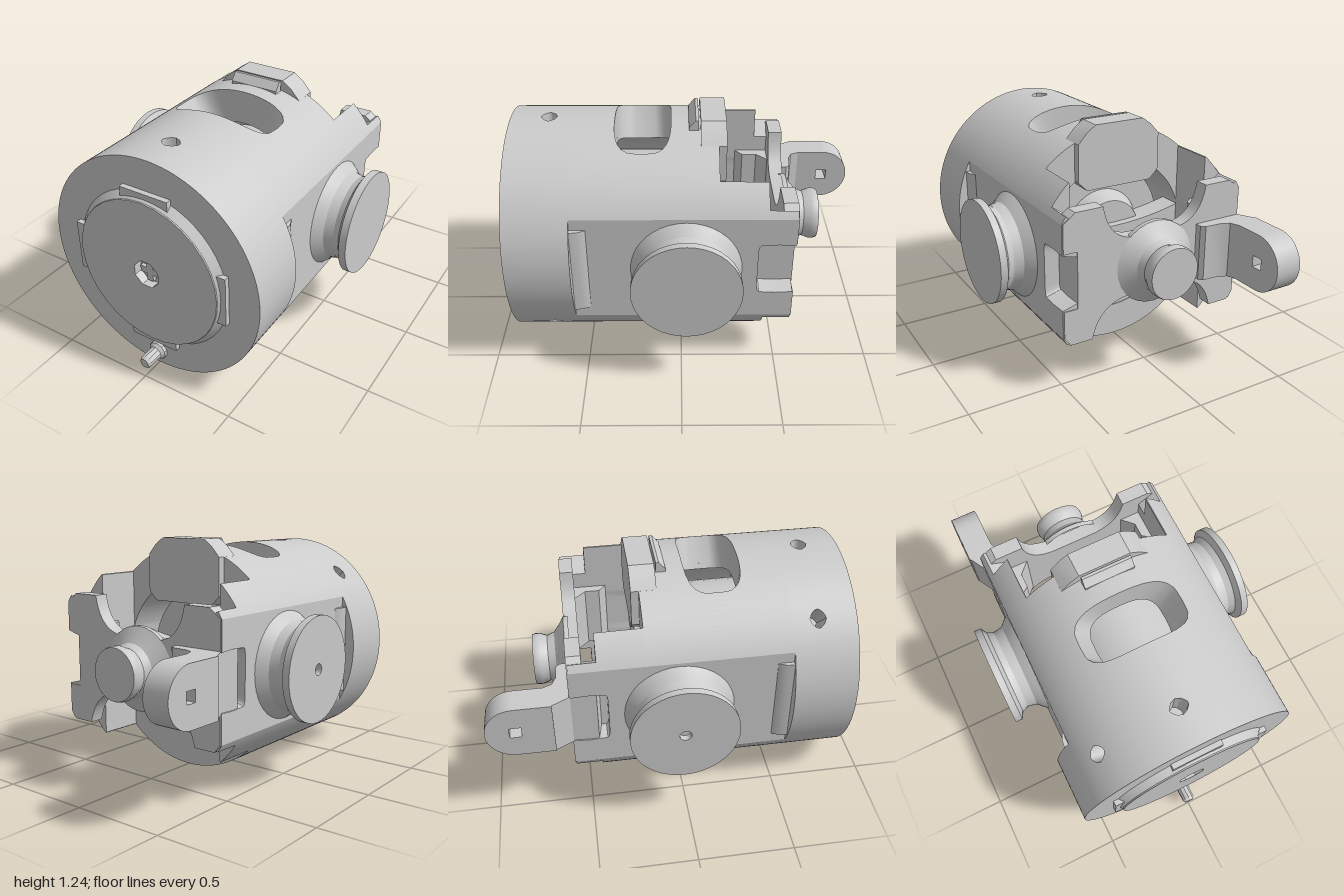
import * as THREE from 'three';
import { toCreasedNormals } from 'three/addons/utils/BufferGeometryUtils.js';

const CY = 0.6; // height of the main axis
const RAD = Math.PI / 180;
const mat = new THREE.MeshStandardMaterial({ color: 0xcccccc, side: THREE.DoubleSide });

export function createModel() {
  const model = new THREE.Group();
  const add = (name, geo, x = 0, y = 0, z = 0) => {
    const mesh = new THREE.Mesh(toCreasedNormals(geo, 0.5), mat);
    mesh.name = name;
    mesh.position.set(x, y, z);
    model.add(mesh);
  };
  const box = (name, w, h, d, x, y, z) => add(name, new THREE.BoxGeometry(w, h, d), x, y, z);
  const lathe = (pts, sides = 40) =>
    new THREE.LatheGeometry(pts.map(p => new THREE.Vector2(...p)), sides);
  const poly = pts => new THREE.Shape(pts.map(p => new THREE.Vector2(...p)));
  const extrude = (shape, depth) =>
    new THREE.ExtrudeGeometry(shape, { depth, bevelEnabled: false, curveSegments: 16 });

  add('housing', housingGeometry());

  // inner core, seen through the slots and from the back
  add('innerCore', lathe([[0, -0.14], [0.18, -0.14], [0.22, -0.05], [0.36, -0.05], [0.36, 0.42],
    [0.43, 0.42], [0.43, 0.88], [0, 0.88]], 48).rotateX(Math.PI / 2), 0, CY, 0);

  // wall closing the lower part of the rear opening, with a dished top edge
  const wall = new THREE.Shape();
  wall.absarc(0, 0, 0.43, Math.PI - 0.25, Math.PI * 2 + 0.25);
  wall.quadraticCurveTo(0, 0, -0.43 * Math.cos(0.25), 0.43 * Math.sin(0.25));
  add('rearWall', extrude(wall, 0.13), 0, CY, -0.185);

  // front cover with an octagonal socket
  const cover = new THREE.Shape().absarc(0, 0, 0.4, 0, Math.PI * 2);
  const socket = new THREE.Path();
  for (let i = 0; i < 8; i++) {
    const a = (i + 0.5) * Math.PI / 4;
    socket[i ? 'lineTo' : 'moveTo'](0.075 * Math.cos(a), 0.075 * Math.sin(a));
  }
  socket.closePath();
  cover.holes.push(socket);
  add('frontCover', extrude(cover, 0.05), 0, CY, 0.877);
  box('socketCross', 0.11, 0.035, 0.03, 0, CY, 0.885);
  box('socketCross', 0.035, 0.11, 0.03, 0, CY, 0.885);
  add('coverCollar', lathe([[0.435, 0.875], [0.4, 0.92]], 48).rotateX(Math.PI / 2), 0, CY, 0);
  for (const s of [-1, 1]) {
    box('coverTab', 0.27, 0.08, 0.035, 0, CY + s * 0.398, 0.89);
    box('coverTab', 0.08, 0.27, 0.035, s * 0.396, CY, 0.89);
  }

  // locating pin below the cover
  add('locatingPin', lathe([[0.055, 0.87], [0.05, 0.895], [0.035, 0.91], [0.035, 0.985], [0.025, 1], [0, 1]], 10)
    .rotateX(Math.PI / 2), 0, 0.085, 0);

  for (const s of [-1, 1]) {
    // flared side knobs
    const knob = [[0.29, 0.51], [0.265, 0.54], [0.235, 0.57], [0.225, 0.62], [0.24, 0.655],
      [0.275, 0.675], [0.275, 0.713]];
    const face = s > 0 ? [[0, 0.713]] : [[0.03, 0.713], [0.03, 0.68], [0, 0.68]];
    add('sideKnob', lathe([...knob, ...face]).rotateZ(-s * Math.PI / 2), 0, CY, -0.025);
    // fillet at the front of each flat
    add('flatFillet', extrude(poly([[s * 0.51, -0.46], [s * 0.525, -0.475], [s * 0.54, -0.51],
      [s * 0.545, -0.555], [s * 0.51, -0.555]]), 0.48).rotateX(-Math.PI / 2), 0, 0.36, 0);
    // inner floor of the side notch
    add('notchFloor', extrude(poly([[s * 0.44, 0.32], [s * 0.4, 0.32], [s * 0.35, 0.36], [s * 0.35, 0.44],
      [s * 0.28, 0.51], [s * 0.44, 0.51]]), 0.36).rotateX(-Math.PI / 2), 0, 0.42, 0);
  }

  // raised block at the back of the top, hanging into the opening
  add('topBlock', extrude(poly([[-0.24, 0.95], [-0.19, 0.9], [0.19, 0.9], [0.24, 0.95], [0.24, 1.15],
    [0.19, 1.205], [0.14, 1.24], [-0.14, 1.24], [-0.19, 1.205], [-0.24, 1.15]]), 0.13), 0, 0, -0.23);
  add('topBlockNose', extrude(poly([[0.09, 1.1], [0.09, 1.24], [0.075, 1.24], [0.04, 1.2], [0.04, 1.1]]), 0.27)
    .rotateY(Math.PI / 2), -0.135, 0, 0);

  // rear bridge: two notched posts joined by a waisted crossbar
  const bridge = new THREE.Shape();
  const half = [[0.36, 0.26], [0.48, 0.26], [0.515, 0.3], [0.515, 0.45], [0.44, 0.45], [0.44, 0.75],
    [0.515, 0.75], [0.515, 0.9], [0.45, 0.95], [0.3, 0.95]];
  bridge.moveTo(-0.15, 0.45);
  bridge.lineTo(0.15, 0.45);
  bridge.quadraticCurveTo(0.32, 0.44, 0.36, 0.26);
  half.forEach(([x, y]) => bridge.lineTo(x, y));
  bridge.quadraticCurveTo(0.27, 0.77, 0.12, 0.76);
  bridge.lineTo(-0.12, 0.76);
  bridge.quadraticCurveTo(-0.27, 0.77, -0.3, 0.95);
  half.reverse().forEach(([x, y]) => bridge.lineTo(-x, y));
  bridge.quadraticCurveTo(-0.32, 0.44, -0.15, 0.45);
  add('rearBridge', extrude(bridge, 0.075), 0, 0, -0.575);

  // rear knob
  add('rearKnob', lathe([[0, -0.75], [0.135, -0.75], [0.14, -0.735], [0.14, -0.71], [0.125, -0.67],
    [0.14, -0.63], [0.18, -0.6], [0.22, -0.575], [0.22, -0.55]], 28).rotateX(Math.PI / 2), 0, CY, 0);

  // rear lug: upright ear with a square hole, on a curved foot that fills the notch
  const ear = new THREE.Shape();
  ear.moveTo(0.66, 0.45);
  ear.lineTo(0.85, 0.45);
  ear.absarc(0.85, CY, 0.15, -Math.PI / 2, Math.PI / 2);
  ear.lineTo(0.66, 0.75);
  ear.holes.push(poly([[0.82, 0.57], [0.82, 0.63], [0.88, 0.63], [0.88, 0.57]]));
  add('lugEar', extrude(ear, 0.145).rotateY(Math.PI / 2), -0.57, 0, 0);
  add('lugFoot', extrude(poly([[-0.57, 0.7], [-0.57, 0.67], [-0.515, 0.57], [-0.515, 0.44], [-0.43, 0.42],
    [-0.43, 0.56], [-0.25, 0.56], [-0.25, 0.61], [-0.27, 0.63], [-0.36, 0.635], [-0.405, 0.655],
    [-0.425, 0.7]]), 0.3).rotateX(-Math.PI / 2), 0, 0.45, 0);

  return model;
}

// Tube along z swept strip by strip, with side flats, slots, notches and stepped rear edge.
function housingGeometry() {
  const cosOf = d => Math.max(Math.abs(Math.cos(d * RAD)), 1e-6);
  const flat = d => Math.min(CY, 0.52 / cosOf(d));
  const rear = d => {
    const a = Math.acos(Math.min(cosOf(d), 1)) / RAD;
    return a < 34.1 ? -0.57 : a < 47.8 ? -0.43 : -0.19;
  };
  const gap = (angle, half, z, h, p) => ({ angle, half, z, h, p });
  const sections = [
    { lo: () => 0.55, hi: 0.88, ro: () => CY, ri: () => 0.42,
      gaps: [90, 135, 270, 315].map(a => gap(a, 4.6, 0.68, 0.042, 1.6)) },
    { lo: () => -0.19, hi: 0.55, ro: flat, ri: () => 0.42,
      gaps: [90, 270].map(a => gap(a, 27.8, 0.195, 0.145, 3.5)) },
    { lo: rear, hi: -0.19, ro: flat, ri: d => Math.min(0.4 / cosOf(d), flat(d) - 0.005),
      gaps: [0, 180].map(a => gap(a, 16, -0.485, 0.1, 10)) },
  ];
  const opening = (g, d) => {
    const t = Math.abs(((d - g.angle + 540) % 360) - 180) / g.half;
    return t < 1 ? g.h * (1 - t ** g.p) ** (1 / g.p) : 0;
  };

  // strip boundaries, refined at the edges of openings and steps
  const cuts = [];
  for (let d = 0; d <= 360; d += 2.5) cuts.push(d);
  for (const base of [0, 180]) for (const s of [-1, 1])
    for (const a of [29.93, 34, 34.2, 47.7, 47.9]) cuts.push((base + s * a + 360) % 360);
  for (const sec of sections) for (const g of sec.gaps) for (const s of [-1, 1])
    for (const k of [0.9, 0.97, 1]) cuts.push((g.angle + s * k * g.half + 360) % 360);
  cuts.sort((a, b) => a - b);

  const pos = [];
  const P = (r, d, z) => [r * Math.cos(d * RAD), CY + r * Math.sin(d * RAD), z];
  const quad = (a, b, c, d) => pos.push(...a, ...b, ...c, ...a, ...c, ...d);
  for (let i = 0; i + 1 < cuts.length; i++) {
    const [a, b] = [cuts[i], cuts[i + 1]];
    if (b - a < 1e-4) continue;
    for (const { lo, hi, ro, ri, gaps } of sections) {
      // intervals as [low at a, low at b, high at a, high at b]
      const g = gaps.find(q => opening(q, a) > 1e-4 || opening(q, b) > 1e-4);
      const [la, lb] = [lo(a), lo(b)];
      const spans = g
        ? [[la, lb, Math.max(la, g.z - opening(g, a)), Math.max(lb, g.z - opening(g, b))],
          [g.z + opening(g, a), g.z + opening(g, b), hi, hi]]
        : [[la, lb, hi, hi]];
      for (const [z0a, z0b, z1a, z1b] of spans) {
        if (z0a >= z1a && z0b >= z1b) continue;
        const [oa, ob, ia, ib] = [ro(a), ro(b), ri(a), ri(b)];
        quad(P(oa, a, z0a), P(ob, b, z0b), P(ob, b, z1b), P(oa, a, z1a));
        quad(P(ia, a, z1a), P(ib, b, z1b), P(ib, b, z0b), P(ia, a, z0a));
        quad(P(ia, a, z1a), P(oa, a, z1a), P(ob, b, z1b), P(ib, b, z1b));
        quad(P(ib, b, z0b), P(ob, b, z0b), P(oa, a, z0a), P(ia, a, z0a));
      }
    }
  }
  const geo = new THREE.BufferGeometry();
  geo.setAttribute('position', new THREE.Float32BufferAttribute(pos, 3));
  geo.computeVertexNormals();
  return geo;
}
